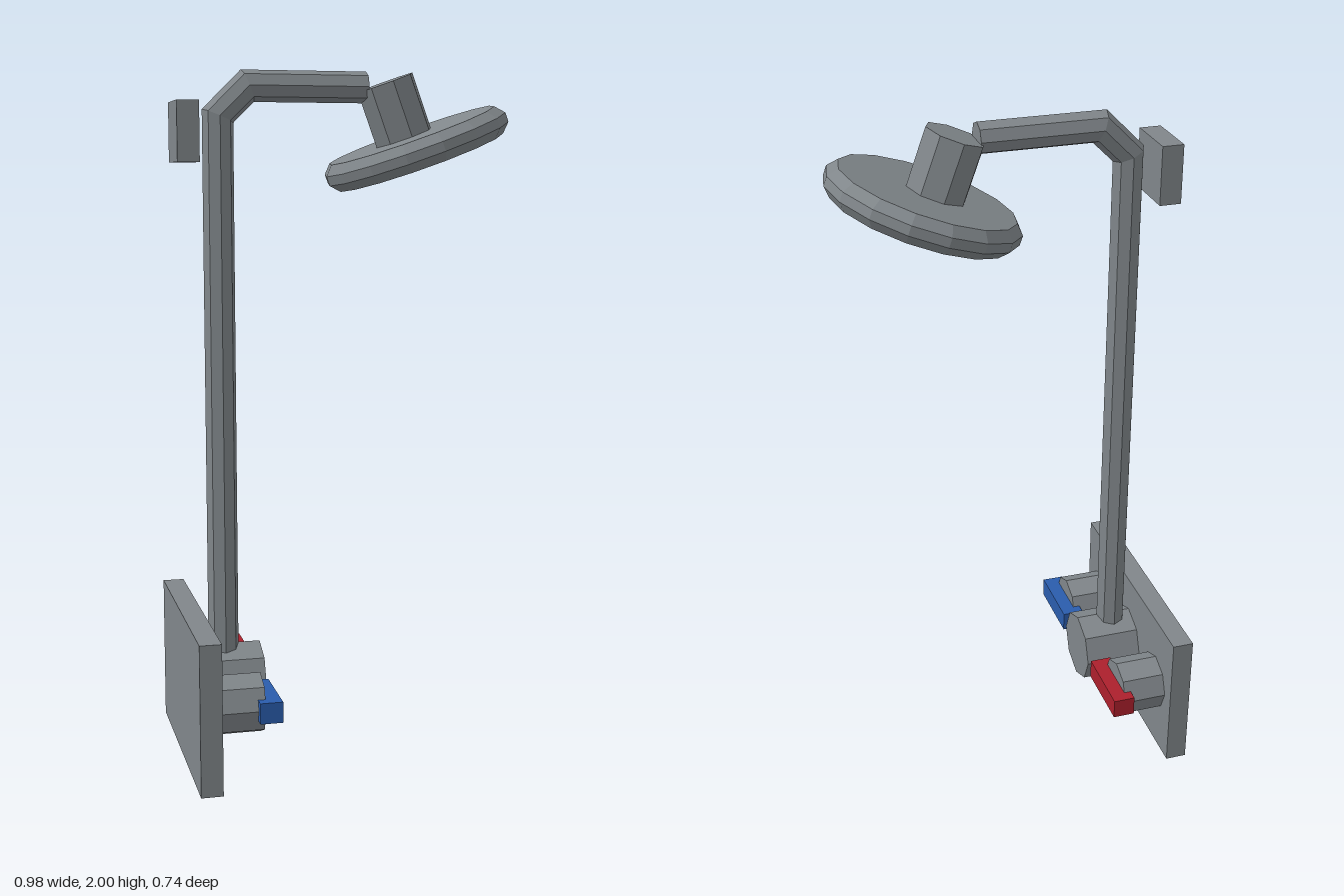
import * as THREE from 'three';

const paint = (name, color) => {
  const m = new THREE.MeshStandardMaterial({ color });
  m.name = name;
  return m;
};

export function createModel() {
  const model = new THREE.Group();
  model.name = 'shower';
  const metal = paint('grey metal', 0x80868a);
  const red = paint('hot red', 0xac202c);
  const blue = paint('cold blue', 0x2a5cac);

  // Adds a faceted mesh
  const add = (name, geometry, material, x, y, z, tilt = 0) => {
    const flat = geometry.index ? geometry.toNonIndexed() : geometry;
    flat.computeVertexNormals();
    const mesh = new THREE.Mesh(flat, material);
    mesh.name = name;
    mesh.position.set(x, y, z);
    mesh.rotation.z = tilt;
    model.add(mesh);
    return mesh;
  };
  const octagon = (r, length) => new THREE.CylinderGeometry(r, r, length, 8);

  // Wall plates
  add('wallPlate', new THREE.BoxGeometry(0.063, 0.435, 0.738), metal, -0.461, 0.2175, 0);
  add('upperWallBracket', new THREE.BoxGeometry(0.063, 0.17, 0.172), metal, -0.461, 1.825, 0);

  // Central valve
  add('centralValve', octagon(0.108, 0.175), metal, -0.3425, 0.22, 0, -Math.PI / 2);

  // Taps: octagonal stem with a U-shaped lever
  const profile = new THREE.Shape([
    [-0.255, -0.107], [-0.255, 0.107], [-0.32, 0.107], [-0.32, 0.074],
    [-0.3, 0.074], [-0.3, -0.074], [-0.32, -0.074], [-0.32, -0.107],
  ].map(([x, y]) => new THREE.Vector2(x, y)));
  for (const [side, label, color] of [[-1, 'hot', red], [1, 'cold', blue]]) {
    add(label + 'TapStem', octagon(0.087, 0.132), metal, -0.365, 0.22, side * 0.239, -Math.PI / 2);
    const lever = new THREE.ExtrudeGeometry(profile, { depth: 0.06, bevelEnabled: false });
    lever.rotateX(-Math.PI / 2);
    add(label + 'TapLever', lever, color, 0, 0.19, side * 0.239);
  }

  // Riser pipe: an octagonal tube bent through two mitred corners
  const m = Math.tan(Math.PI / 8);
  const rings = [ // centre x, y and the direction of the inner side
    [-0.364, 0.295, 1, 0],
    [-0.364, 1.87, 1, -m],
    [-0.278, 1.955, m, -1],
    [0.07, 1.955, 0, -1],
  ];
  const pipe = new THREE.CylinderGeometry(0.045, 0.045, 3, 8, 3);
  const p = pipe.attributes.position;
  for (let i = 0; i < p.count; i++) {
    const [cx, cy, dx, dy] = rings[Math.round(p.getY(i) + 1.5)];
    const r = p.getX(i);
    p.setXY(i, cx + r * dx, cy + r * dy);
  }
  add('riserPipe', pipe, metal, 0, 0, 0);

  // Tilted neck and shower head
  const tilt = THREE.MathUtils.degToRad(20);
  const neck = octagon(0.087, 0.18);
  neck.translate(0, -0.09, 0);
  add('headNeck', neck, metal, 0.128, 1.97, 0, tilt);

  const rim = [[0, -0.041], [0.255, -0.041], [0.28, -0.014], [0.28, 0.014], [0.255, 0.041], [0, 0.041]];
  const head = new THREE.LatheGeometry(rim.map(([r, y]) => new THREE.Vector2(r, y)), 16);
  add('showerHead', head, metal, 0.221, 1.782, 0, tilt);

  return model;
}
